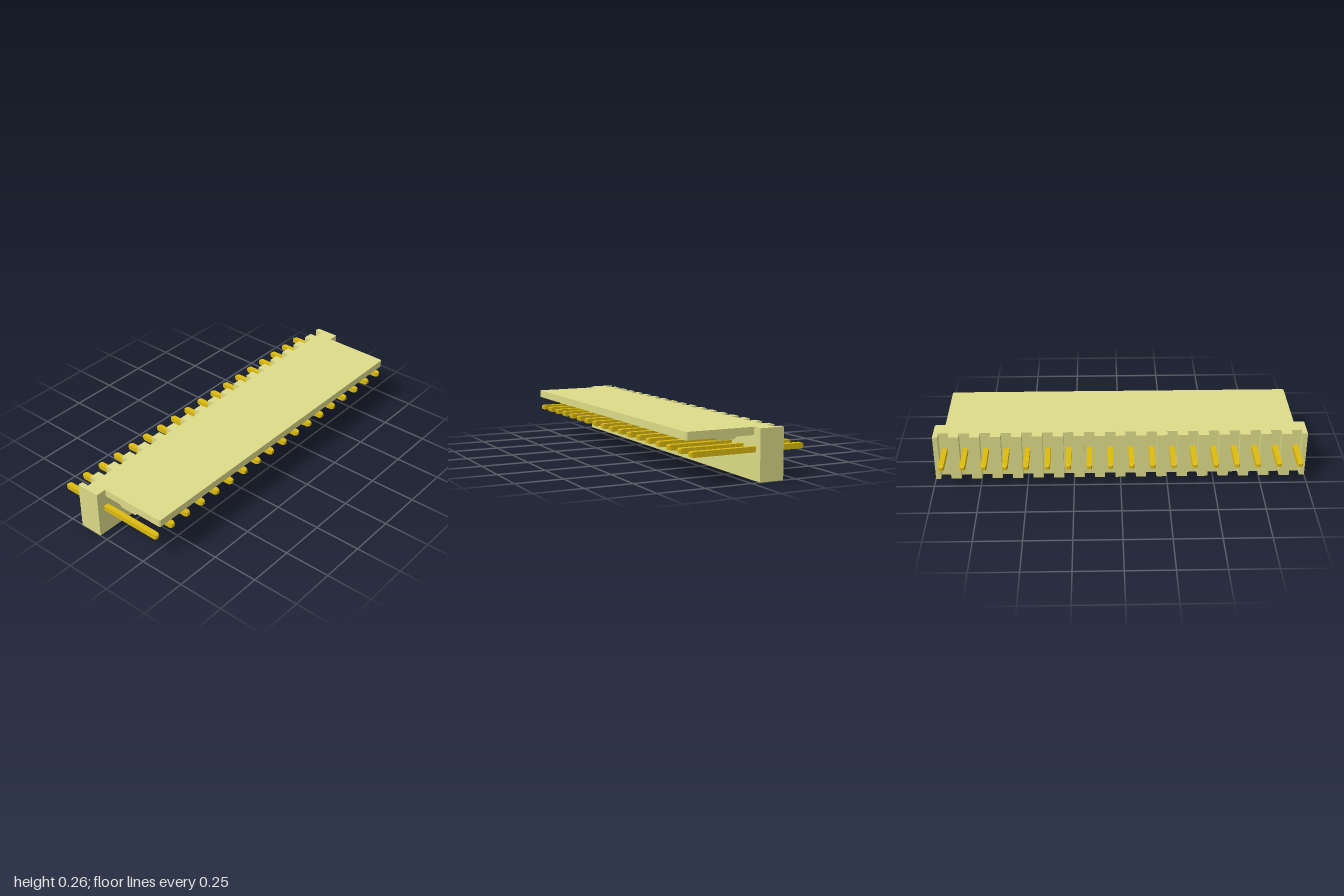
import * as THREE from 'three';

const PINS = 18, PITCH = 0.1112;
const TOP = 0.26;
const pinX = (i) => (i - (PINS - 1) / 2) * PITCH;

const plastic = new THREE.MeshStandardMaterial({ color: 0xdddb88 });
const metal = new THREE.MeshStandardMaterial({ color: 0xddbb0f });

const toShape = (pts) => new THREE.Shape(pts.map(([x, y]) => new THREE.Vector2(x, y)));

// Extrude an outline given in (x, z) downwards from the top level
function slab(points, height) {
  const geo = new THREE.ExtrudeGeometry(toShape(points), { depth: height, bevelEnabled: false });
  return geo.rotateX(Math.PI / 2).translate(0, TOP, 0);
}

function add(group, name, geo, mat) {
  const mesh = new THREE.Mesh(geo, mat);
  mesh.name = name;
  group.add(mesh);
  return mesh;
}

export function createModel() {
  const model = new THREE.Group();
  model.name = 'pinHeader';

  // Wall with a vertical slot behind every pin
  const front = -0.046, back = -0.177, slotFloor = -0.135, half = 0.028;
  const outline = [[1, front], [-1, front], [-1, back]];
  for (let i = 0; i < PINS; i++) {
    const x = pinX(i);
    outline.push([x - half, back], [x - half, slotFloor], [x + half, slotFloor], [x + half, back]);
  }
  outline.push([1, back]);
  add(model, 'slottedWall', slab(outline, TOP), plastic);

  // Top plate with slightly clipped front corners
  const w = 0.943, c = 0.007, zf = 0.322;
  add(model, 'topPlate', slab([
    [-w, front], [w, front], [w, zf - c], [w - c, zf], [-w + c, zf], [-w, zf - c],
  ], 0.04), plastic);

  // Latching ridge beneath the plate: profile in (-z, y), swept along x
  const ridge = new THREE.ExtrudeGeometry(
    toShape([[-0.17, 0.22], [-0.157, 0.207], [-0.065, 0.207], [-0.052, 0.22]]),
    { depth: 2 * w, bevelEnabled: false });
  ridge.rotateY(Math.PI / 2).translate(-w, 0, 0);
  add(model, 'latchRidge', ridge, plastic);

  // Square pins with tapered tips
  const tip = 0.009, taper = 0.013, z0 = -0.322, z1 = 0.306;
  const pinGeo = new THREE.ExtrudeGeometry(
    toShape([[-tip, -tip], [tip, -tip], [tip, tip], [-tip, tip]]),
    { depth: z1 - z0 - 2 * taper, bevelEnabled: true, bevelSegments: 1, bevelSize: 0.005, bevelThickness: taper });
  pinGeo.translate(0, 0, z0 + taper);
  const pins = new THREE.Group();
  pins.name = 'pins';
  for (let i = 0; i < PINS; i++) {
    add(pins, 'pin', pinGeo, metal).position.set(pinX(i), 0.153, 0);
  }
  model.add(pins);
  return model;
}
